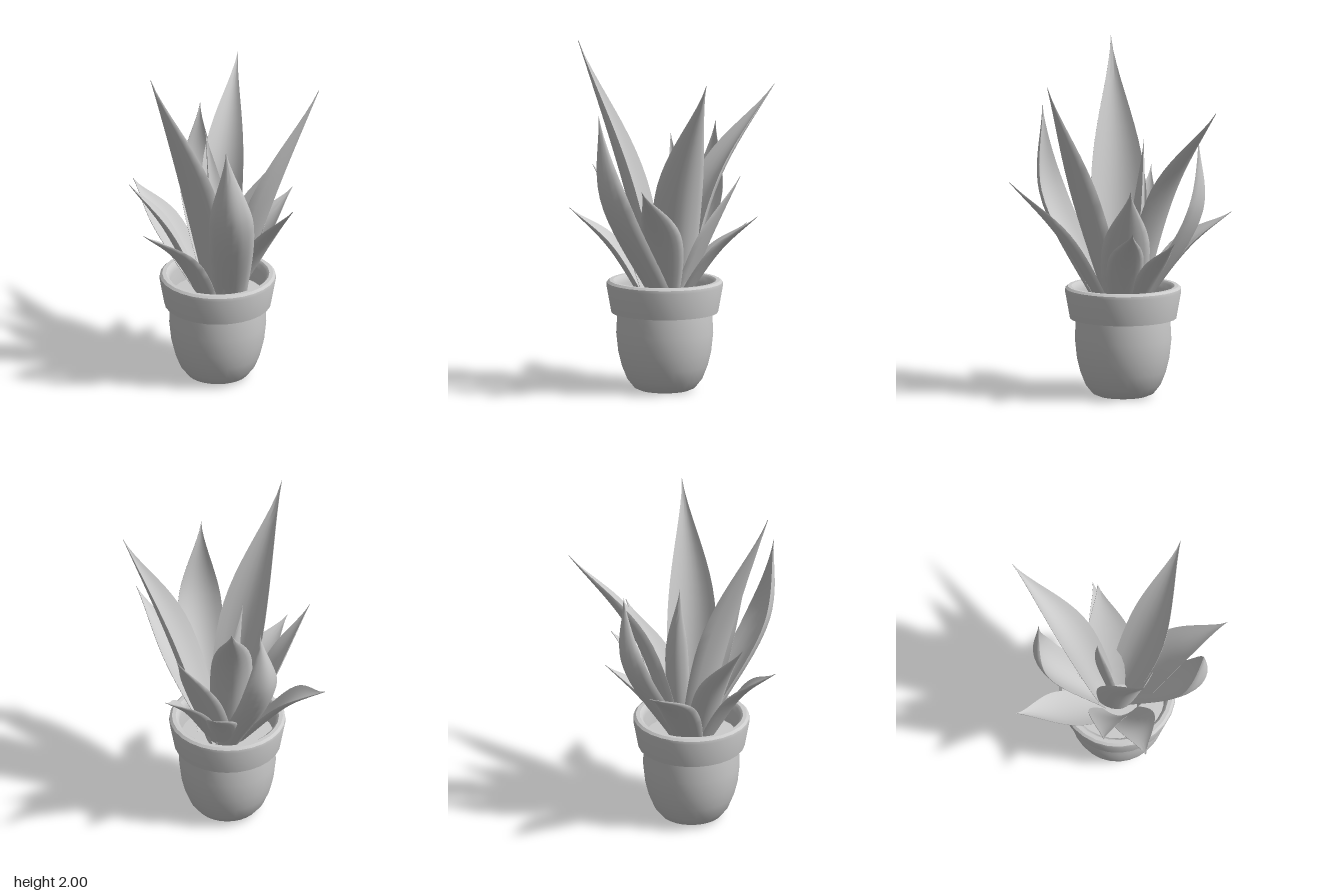
import * as THREE from 'three';
import { toCreasedNormals } from 'three/addons/utils/BufferGeometryUtils.js';

const UP = new THREE.Vector3(0, 1, 0);
const ROOT_Y = 0.48;

// Leaf outline: swells to full width at 0.4 of the length, then tapers to a fine point.
function outline(t) {
  if (t < 0.4) return 0.7 + 0.3 * Math.sin((Math.PI / 2) * (t / 0.4));
  return Math.max(0.004, Math.cos((Math.PI / 2) * Math.min(1, (t - 0.4) / 0.6))) ** 1.45;
}

// Cupped leaf: a closed crescent section swept along the outer spine.
function leafGeometry(base, mid, tip, halfWidth, cup) {
  const curve = new THREE.CatmullRomCurve3([base, mid, tip], false, 'centripetal');
  const heading = mid.clone().sub(base).setY(0).normalize();
  const side = new THREE.Vector3().crossVectors(UP, heading);
  const rows = 18, cols = 8, ring = 2 * (cols + 1);
  const position = [], index = [];
  for (let r = 0; r <= rows; r++) {
    const t = r / rows, w = halfWidth * outline(t);
    const centre = curve.getPoint(t);
    const inward = curve.getTangent(t).cross(side).normalize();
    for (let k = 0; k < ring; k++) {
      const inner = k > cols;
      const u = ((inner ? ring - 1 - k : k) / cols) * 2 - 1;
      const thickness = inner ? 0.003 + 0.16 * w * (1 - u * u) : 0;
      const p = centre.clone().addScaledVector(side, u * w)
        .addScaledVector(inward, cup * w * u * u + thickness);
      position.push(p.x, p.y, p.z);
    }
  }
  for (let r = 0; r < rows; r++) {
    for (let k = 0; k < ring; k++) {
      const a = r * ring + k, b = r * ring + (k + 1) % ring;
      index.push(a, b, b + ring, a, b + ring, a + ring);
    }
  }
  const geometry = new THREE.BufferGeometry();
  geometry.setAttribute('position', new THREE.Float32BufferAttribute(position, 3));
  geometry.setIndex(index);
  return toCreasedNormals(geometry, 1.0);
}

export function createModel() {
  const model = new THREE.Group();
  model.name = 'pottedPlant';
  const material = new THREE.MeshStandardMaterial({ color: 0xcccccc });
  const add = (name, geometry, parent) => {
    const mesh = new THREE.Mesh(geometry, material);
    mesh.name = name;
    parent.add(mesh);
  };
  const lathe = (...profile) => toCreasedNormals(
    new THREE.LatheGeometry(profile.map(([r, y]) => new THREE.Vector2(r, y)), 28), 0.7);

  // Pot, standing slightly off the centre of the foliage
  const pot = new THREE.Group();
  pot.name = 'pot';
  pot.position.set(0.005, 0, 0.0 - 0.01);
  model.add(pot);
  add('potBody', lathe([0, 0], [0.14, 0], [0.175, 0.015], [0.215, 0.065], [0.245, 0.14],
    [0.265, 0.22], [0.277, 0.33], [0.27, 0.46]), pot);
  // Overhanging rim with a rounded lip and inner wall
  add('potRim', lathe([0.26, 0.45], [0.305, 0.45], [0.333, 0.605], [0.331, 0.623], [0.317, 0.635],
    [0.295, 0.635], [0.28, 0.622], [0.273, 0.59], [0.265, 0.49]), pot);
  add('soil', lathe([0.268, 0.5], [0, 0.505]), pot);

  const leaves = new THREE.Group();
  leaves.name = 'leaves';
  model.add(leaves);

  // Tall, deeply cupped leaves, each rooted at its own spot near the centre
  const tallLeaf = (name, [x, z], mid, tip, halfWidth) => add(name, leafGeometry(
    new THREE.Vector3(x, ROOT_Y, z), new THREE.Vector3(...mid), new THREE.Vector3(...tip), halfWidth, 0.6), leaves);
  tallLeaf('tallRightSideLeaf', [-0.05, 0], [-0.25, 1.24, 0], [-0.5, 2, 0], 0.16);
  tallLeaf('tallFrontLeaf', [0.08, 0.07], [0.18, 1.2, 0.3], [0.36, 1.85, 0.47], 0.14);
  tallLeaf('tallBackLeaf', [0.08, -0.08], [0.26, 1.2, -0.26], [0.54, 1.71, -0.48], 0.12);
  tallLeaf('curledFrontLeaf', [0, 0.11], [-0.25, 1.15, 0.425], [-0.285, 1.64, 0.42], 0.13);
  tallLeaf('curledBackLeaf', [0.06, -0.1], [0.185, 1.08, -0.445], [0.21, 1.5, -0.42], 0.115);
  tallLeaf('innerLeaf', [0.07, -0.04], [0.05, 1.05, -0.12], [0.01, 1.48, -0.13], 0.07);

  // Short, spreading leaves, rooted on a ring around the centre
  const shortLeaf = (name, mid, tip, halfWidth) => {
    const middle = new THREE.Vector3(...mid);
    const base = middle.clone().setY(0).setLength(0.1).setY(ROOT_Y);
    add(name, leafGeometry(base, middle, new THREE.Vector3(...tip), halfWidth, 0.4), leaves);
  };
  shortLeaf('frontLeaf', [0.065, 0.93, 0.37], [0.02, 1.25, 0.65], 0.12);
  shortLeaf('backLeaf', [-0.1, 0.84, -0.4], [-0.1, 1.03, -0.645], 0.12);
  shortLeaf('backRightSideLeaf', [-0.26, 0.93, -0.175], [-0.47, 1.25, -0.23], 0.1);
  shortLeaf('lowRightSideLeaf', [-0.32, 0.82, 0.02], [-0.55, 1.03, 0], 0.12);
  shortLeaf('midLeftSideLeaf', [0.285, 0.9, 0], [0.45, 1.25, 0], 0.14);
  shortLeaf('lowLeftSideLeaf', [0.34, 0.82, 0.01], [0.55, 1.02, 0], 0.105);
  shortLeaf('lowBackLeaf', [0.27, 0.77, -0.18], [0.43, 0.94, -0.255], 0.09);
  return model;
}
